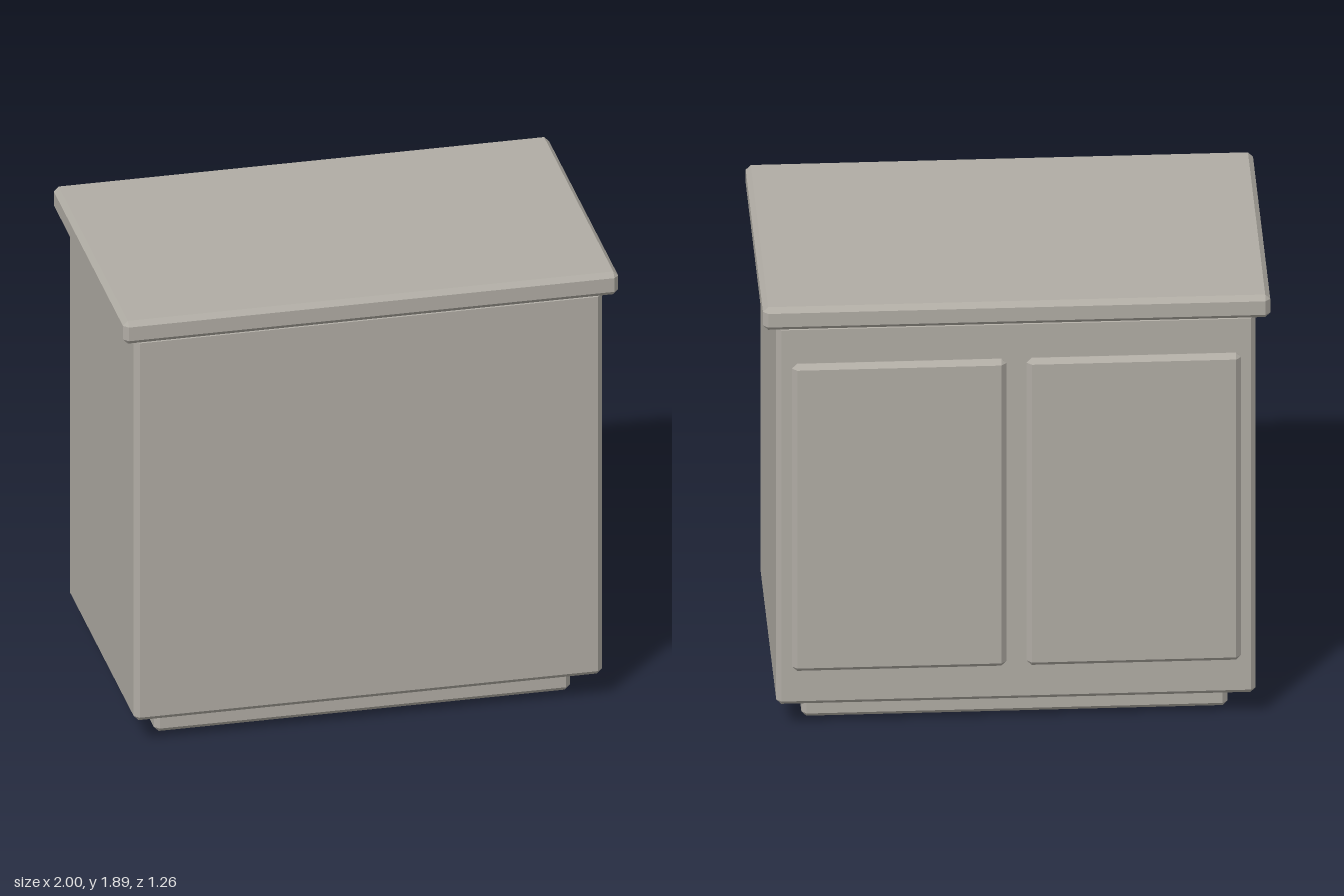
import * as THREE from 'three';
import { ConvexGeometry } from 'three/addons/geometries/ConvexGeometry.js';

const BEVEL = 0.02;

// Box with chamfered edges and corners, given by its min and max corners
function chamferBox(name, min, max, material) {
  const half = max.map((m, i) => (m - min[i]) / 2);
  const points = [];
  for (const sx of [-1, 1]) for (const sy of [-1, 1]) for (const sz of [-1, 1]) {
    const s = [sx, sy, sz];
    // each corner becomes three points, one on each adjoining face
    for (let face = 0; face < 3; face++) {
      points.push(new THREE.Vector3(
        ...s.map((sign, i) => sign * (half[i] - (i === face ? 0 : BEVEL)))
      ));
    }
  }
  const mesh = new THREE.Mesh(new ConvexGeometry(points), material);
  mesh.name = name;
  mesh.position.set(...min.map((m, i) => m + half[i]));
  return mesh;
}

export function createModel() {
  const group = new THREE.Group();
  group.name = 'cabinet';

  const paint = new THREE.MeshStandardMaterial({ color: 0xb0aca4 });
  paint.name = 'warm grey';

  // Recessed plinth, carcass and overhanging top
  group.add(
    chamferBox('plinth', [-0.84, 0, -0.475], [0.84, 0.15, 0.475], paint),
    chamferBox('body', [-0.945, 0.11, -0.58], [0.945, 1.795, 0.58], paint),
    chamferBox('worktop', [-1, 1.795, -0.63], [1, 1.895, 0.63], paint)
  );

  // Pair of doors on the back face
  for (const [name, x0, x1] of [['leftDoor', 0.04, 0.885], ['rightDoor', -0.885, -0.04]]) {
    group.add(chamferBox(name, [x0, 0.275, -0.62], [x1, 1.635, -0.578], paint));
  }

  return group;
}
